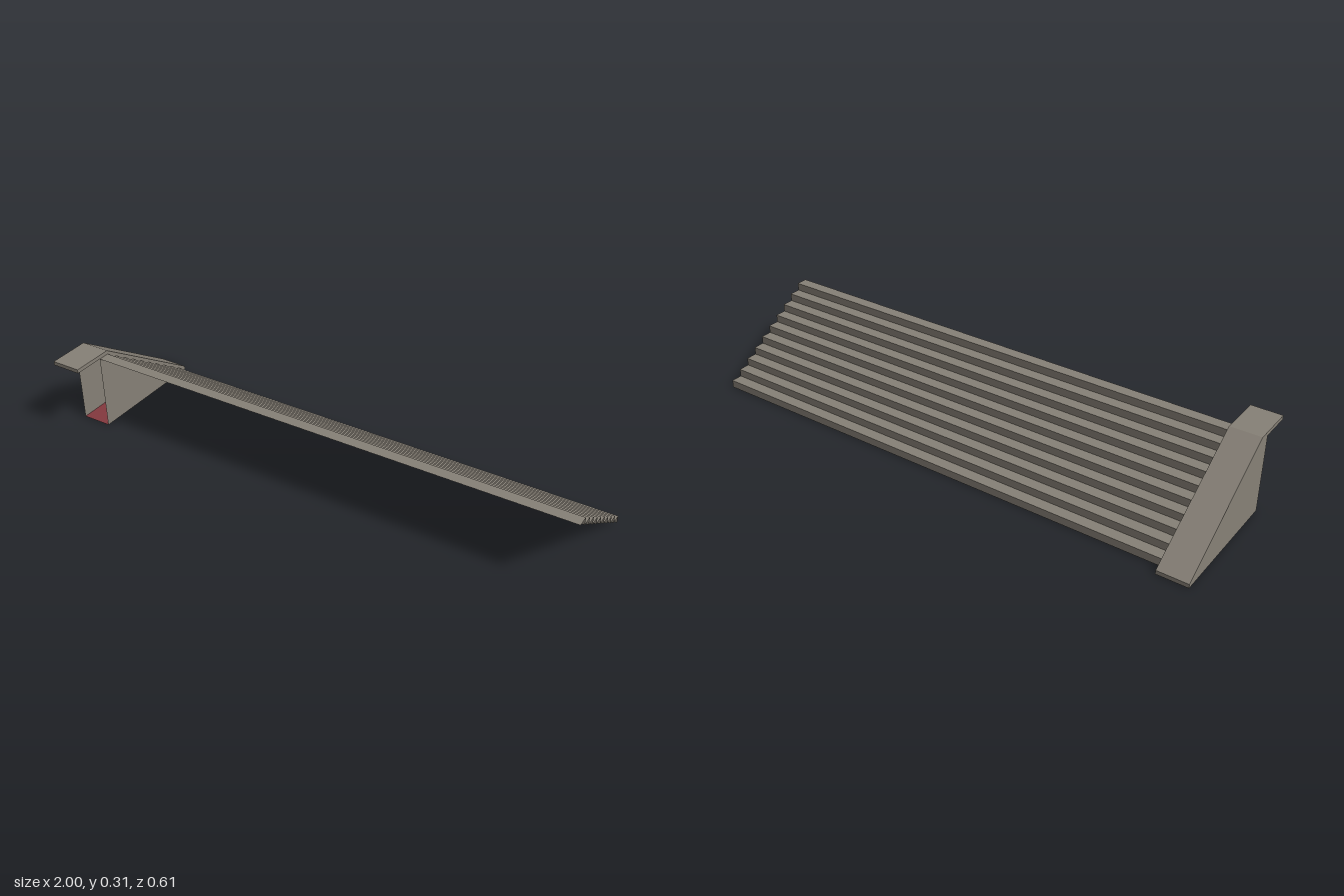
import * as THREE from 'three';
import { mergeGeometries } from 'three/addons/utils/BufferGeometryUtils.js';

const X0 = -1, X1 = -0.885, X2 = 1;        // balustrade outer, inner, and stair end
const FRONT = 0.183, BACK = -0.303, LIP = 0.303;
const HEIGHT = 0.295, SLAB = 0.015, CREST = 0.14;
const STEPS = 10;

// Side profile from [z, y] points
function profile(points) {
  return new THREE.Shape(points.map(([z, y]) => new THREE.Vector2(z, y)));
}

export function createModel() {
  const group = new THREE.Group();
  const stone = new THREE.MeshStandardMaterial({ color: 0x878177, side: THREE.DoubleSide });
  const red = new THREE.MeshStandardMaterial({ color: 0x84393f, side: THREE.DoubleSide });

  function add(name, geometry, material) {
    const mesh = new THREE.Mesh(geometry, material);
    mesh.name = name;
    group.add(mesh);
  }

  // Sloping coping slab with a flat lip at the top
  const coping = new THREE.ExtrudeGeometry(profile([
    [BACK, 0], [CREST, HEIGHT], [LIP, HEIGHT],
    [LIP, HEIGHT + SLAB], [CREST, HEIGHT + SLAB], [BACK, SLAB],
  ]), { depth: X1 - X0, bevelEnabled: false });
  coping.rotateY(-Math.PI / 2).translate(X1, 0, 0);
  add('coping', coping, stone);

  // Thin side walls under the coping; the front stays open
  for (const [name, x] of [['outerWall', X0], ['innerWall', X1]]) {
    const wall = new THREE.ShapeGeometry(profile([
      [BACK, 0], [FRONT, 0], [FRONT, HEIGHT], [CREST, HEIGHT],
    ]));
    wall.rotateY(-Math.PI / 2).translate(x, 0, 0);
    add(name, wall, stone);
  }

  // Floor of the hollow balustrade
  const floor = new THREE.PlaneGeometry(X1 - X0, FRONT - BACK);
  floor.rotateX(-Math.PI / 2).translate((X0 + X1) / 2, 0.001, (FRONT + BACK) / 2);
  add('floor', floor, red);

  // Folded sheet of risers and treads, climbing from back to front
  const start = -0.26, run = (FRONT - start) / STEPS, rise = HEIGHT / STEPS;
  const width = X2 - X1, midX = (X1 + X2) / 2;
  const folds = [];
  for (let i = 0; i < STEPS; i++) {
    const z = start + i * run;
    folds.push(
      new THREE.PlaneGeometry(width, rise).rotateY(Math.PI).translate(midX, (i + 0.5) * rise, z),
      new THREE.PlaneGeometry(width, run).rotateX(-Math.PI / 2).translate(midX, (i + 1) * rise, z + run / 2),
    );
  }
  add('steps', mergeGeometries(folds), stone);

  return group;
}
